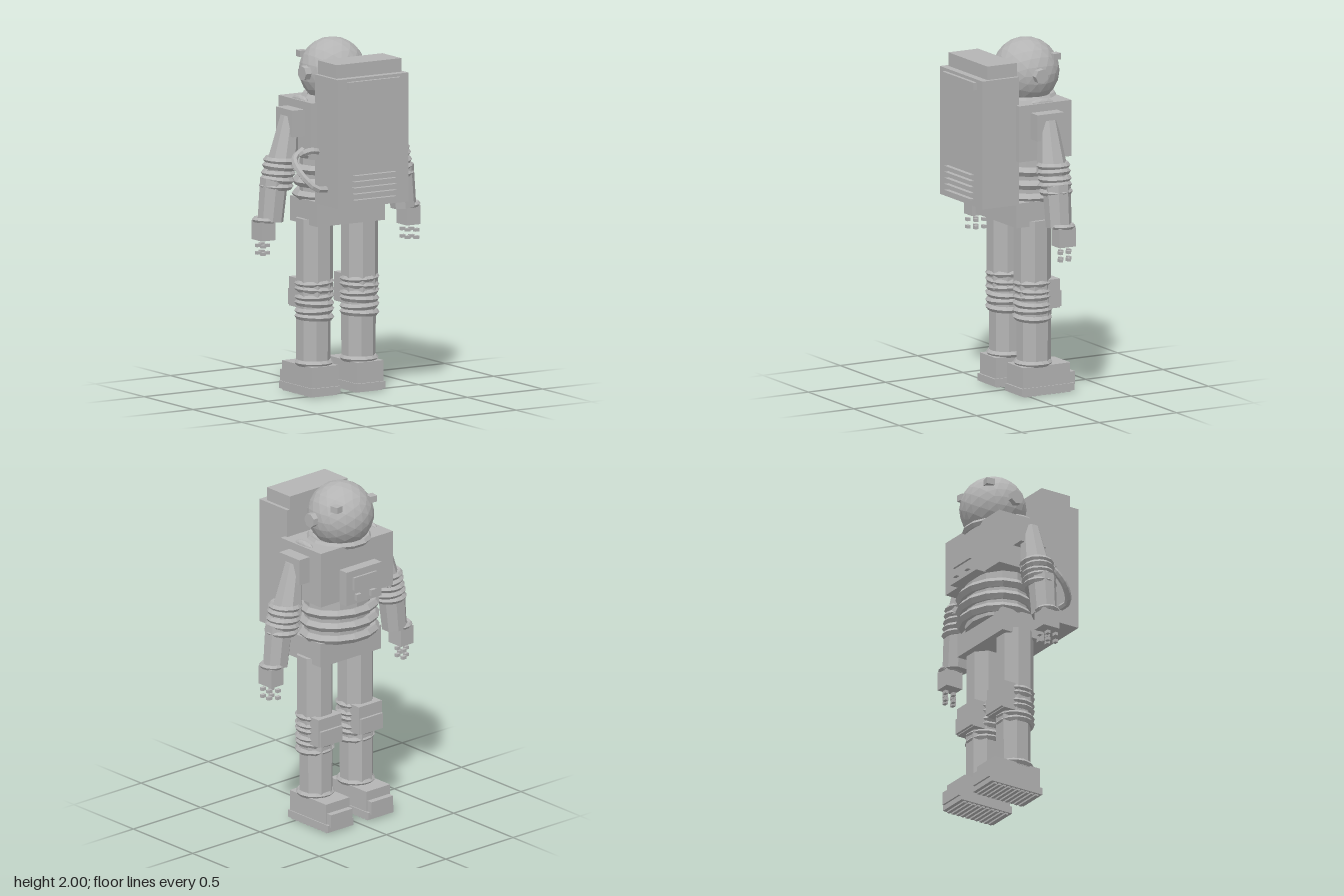
import * as THREE from 'three';

const suit = new THREE.MeshStandardMaterial({ color: 0xb4b4b4, flatShading: true });
suit.name = 'suit grey';

function add(parent, name, geometry, x = 0, y = 0, z = 0) {
  const mesh = new THREE.Mesh(geometry, suit);
  mesh.name = name;
  mesh.position.set(x, y, z);
  parent.add(mesh);
  return mesh;
}

// Box given by its lower and upper limits on each axis
function box(parent, name, [x0, x1], [y0, y1], [z0, z1]) {
  return add(parent, name, new THREE.BoxGeometry(x1 - x0, y1 - y0, z1 - z0),
    (x0 + x1) / 2, (y0 + y1) / 2, (z0 + z1) / 2);
}

// Horizontal ring with outer radii rx and rz
function ring(parent, name, x, y, z, rx, rz, tube) {
  const g = new THREE.TorusGeometry(1, tube, 5, 14);
  g.rotateX(Math.PI / 2);
  const p = g.attributes.position;
  for (let i = 0; i < p.count; i++) {
    const a = Math.atan2(p.getZ(i), p.getX(i));
    const off = Math.hypot(p.getX(i), p.getZ(i)) - 1;
    p.setXYZ(i, Math.cos(a) * (rx - tube + off), p.getY(i), Math.sin(a) * (rz - tube + off));
  }
  return add(parent, name, g, x, y, z);
}

// Eight-sided limb between two points
function limb(parent, name, from, to, r0, r1) {
  const a = new THREE.Vector3(...from), b = new THREE.Vector3(...to);
  const dir = b.clone().sub(a);
  const g = new THREE.CylinderGeometry(r1, r0, dir.length(), 8);
  g.rotateY(Math.PI / 8);
  const mesh = add(parent, name, g);
  mesh.position.copy(a).add(b).multiplyScalar(0.5);
  mesh.quaternion.setFromUnitVectors(new THREE.Vector3(0, 1, 0), dir.normalize());
}

function buildHead(root) {
  const head = new THREE.Group();
  head.name = 'head';
  add(head, 'helmet', new THREE.IcosahedronGeometry(0.188, 3), 0, 1.812, -0.113);
  ring(head, 'neckRing', 0, 1.672, -0.1, 0.185, 0.185, 0.02);
  for (const s of [-1, 1]) {
    const ear = add(head, 'earDisc', new THREE.CylinderGeometry(0.042, 0.042, 0.04, 7), s * 0.195, 1.815, -0.093);
    ear.rotation.z = Math.PI / 2;
    const lamp = add(head, 'helmetLamp', new THREE.BoxGeometry(0.045, 0.036, 0.05), s * 0.13, 1.902, -0.226);
    lamp.rotation.y = s * 0.15;
  }
  root.add(head);
}

function buildTorso(root) {
  const torso = new THREE.Group();
  torso.name = 'torso';
  box(torso, 'chest', [-0.268, 0.268], [1.355, 1.675], [-0.25, 0.088]);
  box(torso, 'pelvis', [-0.225, 0.225], [0.97, 1.11], [-0.2, 0.08]);
  const core = add(torso, 'waist', new THREE.CylinderGeometry(1, 1, 0.28, 12), 0, 1.23, -0.09);
  core.scale.set(0.21, 1, 0.16);
  for (const y of [1.125, 1.2, 1.275]) ring(torso, 'waistRing', 0, y, -0.1, 0.245, 0.208, 0.028);

  // Control panel
  box(torso, 'controlPanel', [-0.13, 0.13], [1.345, 1.545], [-0.312, -0.25]);
  box(torso, 'panelScreen', [-0.085, 0.085], [1.43, 1.505], [-0.325, -0.31]);
  for (const s of [-1, 1]) {
    box(torso, 'panelKnob', [s * 0.055 - 0.018, s * 0.055 + 0.018], [1.368, 1.404], [-0.333, -0.31]);
    const pad = add(torso, 'collarPad', new THREE.IcosahedronGeometry(1, 1), s * 0.238, 1.67, -0.075);
    pad.scale.set(0.022, 0.028, 0.075);
  }
  root.add(torso);
}

function buildPack(root) {
  const pack = new THREE.Group();
  pack.name = 'backpack';
  box(pack, 'packBody', [-0.235, 0.235], [1.105, 1.835], [0.07, 0.305]);
  box(pack, 'packTop', [-0.215, 0.215], [1.835, 1.912], [0.07, 0.262]);
  box(pack, 'packHandle', [-0.173, 0.173], [1.776, 1.818], [0.3, 0.326]);
  for (let i = 0; i < 5; i++) {
    const y = 1.145 + i * 0.0345;
    box(pack, 'packVent', [-0.14, 0.14], [y - 0.004, y + 0.004], [0.3, 0.332]);
  }
  // Air hoses
  const hoses = [
    [[-0.22, 1.2, 0.185], [-0.3, 1.21, 0.19], [-0.355, 1.28, 0.13], [-0.352, 1.36, 0.04], [-0.27, 1.4, 0]],
    [[-0.22, 1.4, 0.1], [-0.28, 1.41, 0.1], [-0.32, 1.39, 0.07], [-0.25, 1.37, 0.03]],
  ];
  for (const pts of hoses) {
    const path = new THREE.CatmullRomCurve3(pts.map(p => new THREE.Vector3(...p)));
    add(pack, 'airHose', new THREE.TubeGeometry(path, 12, 0.019, 6));
  }
  root.add(pack);
}

function buildArm(root, s) {
  const arm = new THREE.Group();
  arm.name = s > 0 ? 'leftArm' : 'rightArm';
  const span = (a, b) => (s > 0 ? [a, b] : [-b, -a]);
  box(arm, 'shoulder', span(0.25, 0.345), [1.48, 1.63], [-0.157, 0.013]);
  limb(arm, 'upperArm', [s * 0.365, 1.3, -0.07], [s * 0.31, 1.585, -0.073], 0.09, 0.052);
  for (let i = 0; i < 5; i++) {
    const elbow = ring(arm, 'elbowRing', s * (0.373 + i * 0.007), 1.345 - i * 0.036, -0.07, 0.099, 0.097, 0.019);
    elbow.rotation.z = s * (i % 2 ? 0.12 : 0.05);
  }
  limb(arm, 'forearm', [s * 0.442, 1.005, -0.066], [s * 0.417, 1.245, -0.066], 0.073, 0.08);
  const wrist = ring(arm, 'wristRing', s * 0.478, 1.015, -0.073, 0.07, 0.07, 0.015);
  wrist.rotation.z = s * 0.06;
  box(arm, 'hand', span(0.437, 0.528), [0.902, 1.01], [-0.128, -0.022]);
  // Two-segment fingers
  for (let i = 0; i < 4; i++) {
    const z = -0.037 - i * 0.026, x = i % 2 ? 0.468 : 0.509;
    for (const y of [0.87, 0.828]) box(arm, 'finger', span(x - 0.014, x + 0.014), [y - 0.009, y + 0.009], [z - 0.01, z + 0.01]);
  }
  root.add(arm);
}

function buildLeg(root, s) {
  const leg = new THREE.Group();
  leg.name = s > 0 ? 'leftLeg' : 'rightLeg';
  const x = s * 0.15;
  limb(leg, 'thigh', [x, 0.55, -0.066], [x, 1.0, -0.066], 0.105, 0.105);
  limb(leg, 'calf', [x, 0.16, -0.076], [x, 0.55, -0.076], 0.097, 0.099);
  for (let i = 0; i < 6; i++) {
    const knee = ring(leg, 'kneeRing', x, 0.44 + i * 0.039, -0.066, 0.113, 0.111, 0.019);
    knee.rotation.z = i % 2 ? 0.05 : -0.05;
  }
  box(leg, 'kneePad', [x - 0.085, x + 0.085], [0.49, 0.655], [-0.195, -0.12]);
  box(leg, 'kneePadLower', [x - 0.08, x + 0.08], [0.495, 0.585], [-0.21, -0.18]);
  ring(leg, 'ankleRing', x, 0.18, -0.07, 0.11, 0.11, 0.018);

  // Boot
  box(leg, 'boot', [x - 0.088, x + 0.088], [0.05, 0.17], [-0.26, 0.045]);
  box(leg, 'toeCap', [x - 0.08, x + 0.08], [0.04, 0.115], [-0.295, -0.25]);
  box(leg, 'sole', [x - 0.094, x + 0.094], [0.01, 0.052], [-0.284, 0.055]);
  for (let i = 0; i < 10; i++) {
    const z = 0.025 - i * 0.031;
    box(leg, 'tread', [x - 0.085, x + 0.085], [0, 0.012], [z - 0.009, z + 0.009]);
  }
  root.add(leg);
}

export function createModel() {
  const root = new THREE.Group();
  root.name = 'astronaut';
  buildHead(root);
  buildTorso(root);
  buildPack(root);
  for (const s of [-1, 1]) {
    buildArm(root, s);
    buildLeg(root, s);
  }
  return root;
}
